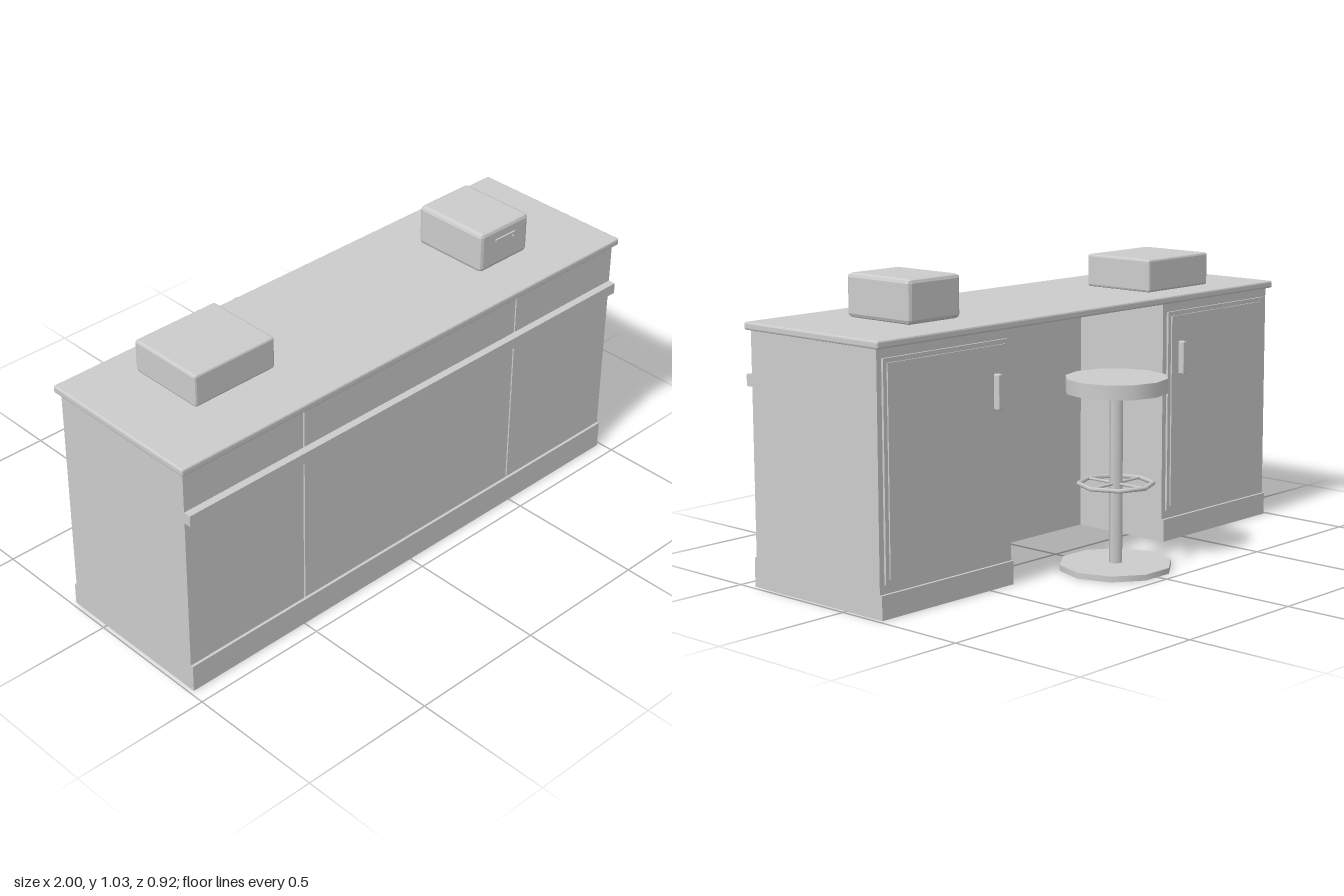
import * as THREE from 'three';
import { RoundedBoxGeometry } from 'three/addons/geometries/RoundedBoxGeometry.js';

const grey = new THREE.MeshStandardMaterial({ color: 0xcccccc });

function add(parent, name, geometry, x = 0, y = 0, z = 0) {
  const mesh = new THREE.Mesh(geometry, grey);
  mesh.name = name;
  mesh.position.set(x, y, z);
  parent.add(mesh);
  return mesh;
}

// box given by its minimum and maximum corners, optionally chamfered
function box(parent, name, [x0, y0, z0], [x1, y1, z1], chamfer = 0) {
  const w = x1 - x0, h = y1 - y0, d = z1 - z0;
  let geometry;
  if (chamfer) {
    geometry = new RoundedBoxGeometry(w, h, d, 1, chamfer);
    if (geometry.index) geometry = geometry.toNonIndexed();
    geometry.computeVertexNormals();
  } else geometry = new THREE.BoxGeometry(w, h, d);
  return add(parent, name, geometry, (x0 + x1) / 2, (y0 + y1) / 2, (z0 + z1) / 2);
}

function createCounter() {
  const counter = new THREE.Group();
  counter.name = 'counter';

  // U-shaped plan with a knee space at the back and two grooves in the front
  const W = 0.985, K = 0.39, back = -0.155, front = 0.433, well = 0.23;
  const plan = [[-W, back], [-K, back], [-K, well], [K, well], [K, back], [W, back], [W, front]];
  for (const x of [0.49, -0.49]) {
    plan.push([x + 0.003, front], [x + 0.003, front - 0.01], [x - 0.003, front - 0.01], [x - 0.003, front]);
  }
  plan.push([-W, front]);
  const shape = new THREE.Shape(plan.map(([x, z]) => new THREE.Vector2(x, -z)));
  const body = new THREE.ExtrudeGeometry(shape, { depth: 0.857, bevelEnabled: false });
  body.rotateX(-Math.PI / 2);
  add(counter, 'cabinetBody', body);

  box(counter, 'worktop', [-1, 0.857, -0.175], [1, 0.883, 0.45], 0.006);
  box(counter, 'frontPlinth', [-W, 0, front], [W, 0.1, 0.443]);
  box(counter, 'frontRail', [-W, 0.67, front], [W, 0.71, 0.46]);

  // back cupboards: plinth, door with raised panel, handle
  for (const s of [-1, 1]) {
    const span = (a, b) => (s > 0 ? [a, b] : [-b, -a]);
    const [p0, p1] = span(K, W);
    box(counter, 'backPlinth', [p0, 0, -0.165], [p1, 0.08, back]);
    const [d0, d1] = span(0.41, 0.965);
    box(counter, 'door', [d0, 0.11, -0.163], [d1, 0.825, back]);
    const [e0, e1] = span(0.425, 0.95);
    box(counter, 'doorPanel', [e0, 0.125, -0.168], [e1, 0.81, -0.16]);
    const [h0, h1] = span(0.462, 0.482);
    box(counter, 'doorHandle', [h0, 0.6, -0.19], [h1, 0.718, -0.165], 0.004);
  }

  // shallow drawer inside the knee space
  box(counter, 'drawerFront', [-K, 0.795, well - 0.008], [K, 0.857, well]);
  box(counter, 'drawerHandle', [-0.06, 0.815, well - 0.03], [0.06, 0.833, well - 0.006], 0.004);
  return counter;
}

function createStool() {
  const stool = new THREE.Group();
  stool.name = 'stool';
  stool.position.z = -0.275;

  const disc = (name, r, y0, y1, sides) => {
    const geometry = new THREE.CylinderGeometry(r, r, y1 - y0, sides);
    geometry.rotateY(Math.PI / 2);
    return add(stool, name, geometry, 0, (y0 + y1) / 2, 0);
  };
  disc('stoolBase', 0.195, 0, 0.02, 10);
  disc('stoolColumn', 0.023, 0.02, 0.61, 6);
  disc('stoolSeat', 0.175, 0.61, 0.66, 12);

  // foot ring and its four spokes
  const ring = new THREE.TorusGeometry(0.127, 0.008, 6, 8);
  ring.rotateX(Math.PI / 2);
  add(stool, 'footRing', ring, 0, 0.295, 0);
  for (let i = 0; i < 4; i++) {
    const spoke = new THREE.CylinderGeometry(0.005, 0.005, 0.11, 6);
    spoke.rotateZ(Math.PI / 2).translate(0.072, 0, 0).rotateY(i * Math.PI / 2);
    add(stool, 'footRingSpoke', spoke, 0, 0.295, 0);
  }
  return stool;
}

export function createModel() {
  const model = new THREE.Group();
  model.name = 'counterWithStool';
  model.add(createCounter(), createStool());

  // boxes standing on the worktop
  box(model, 'wideBox', [-0.757, 0.883, -0.06], [-0.425, 1.0, 0.23], 0.008);
  box(model, 'tallBox', [0.47, 0.883, -0.01], [0.705, 1.03, 0.282], 0.014);

  // small lever on the tall box
  box(model, 'leverBar', [0.54, 0.982, 0.28], [0.635, 0.99, 0.288]);
  box(model, 'leverEnd', [0.625, 0.97, 0.28], [0.635, 0.982, 0.288]);
  return model;
}
